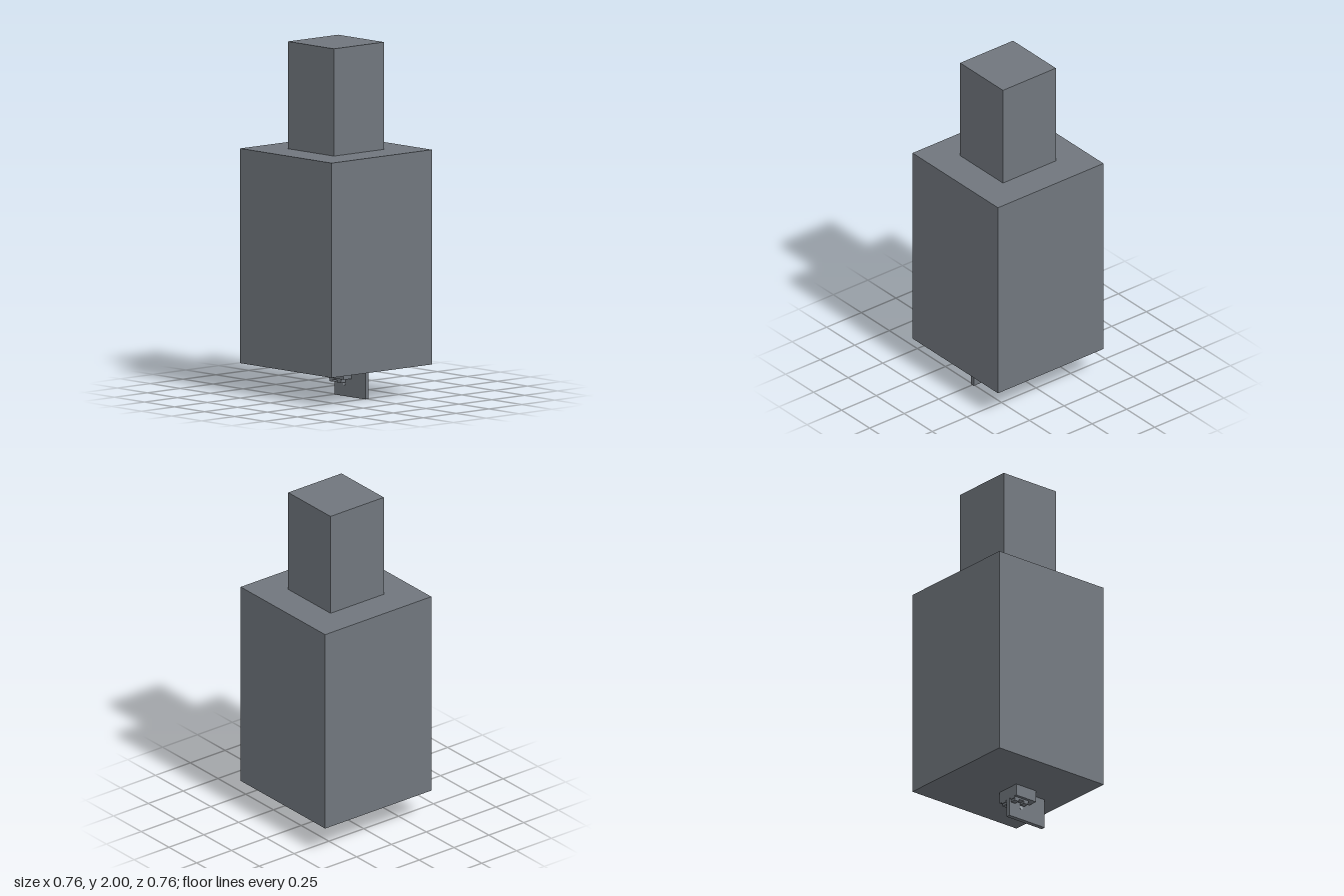
import * as THREE from 'three';

export function createModel() {
  const group = new THREE.Group();
  const darkSteel = new THREE.MeshStandardMaterial({ color: 0x70767d, flatShading: true });
  const lightSteel = new THREE.MeshStandardMaterial({ color: 0xa4acb4, flatShading: true });

  const add = (name, geometry, material, x, y, z) => {
    const mesh = new THREE.Mesh(geometry, material);
    mesh.name = name;
    mesh.position.set(x, y, z);
    group.add(mesh);
    return mesh;
  };
  // Box given by its lower and upper corner
  const box = (name, [x0, y0, z0], [x1, y1, z1]) =>
    add(name, new THREE.BoxGeometry(x1 - x0, y1 - y0, z1 - z0), darkSteel,
      (x0 + x1) / 2, (y0 + y1) / 2, (z0 + z1) / 2);

  // Large body with a narrower square neck
  box('body', [-0.381, 0.172, -0.381], [0.381, 1.391, 0.381]);
  box('neck', [-0.191, 1.391, -0.191], [0.191, 2, 0.191]);

  // Thin upright blade and the mounting block around its inner end
  box('blade', [0, 0, -0.013], [0.258, 0.172, 0.013]);
  box('mountingBlock', [0, 0.104, -0.073], [0.144, 0.172, 0.073]);

  // Small fittings below the block, mirrored on both sides of the blade
  for (const side of [-1, 1]) {
    const z = side * 0.038;
    box('fittingPlate', [0, 0.094, z - 0.017], [0.105, 0.104, z + 0.017]);
    box('innerFoot', [0.005, 0.08, z - 0.017], [0.035, 0.094, z + 0.017]);
    box('outerFoot', [0.07, 0.08, z - 0.017], [0.1, 0.094, z + 0.017]);
    const pin = add('pin', new THREE.CylinderGeometry(0.01, 0.01, 0.004, 12), lightSteel,
      0.085, 0.07, side * 0.014);
    pin.rotation.x = Math.PI / 2;
  }

  return group;
}
